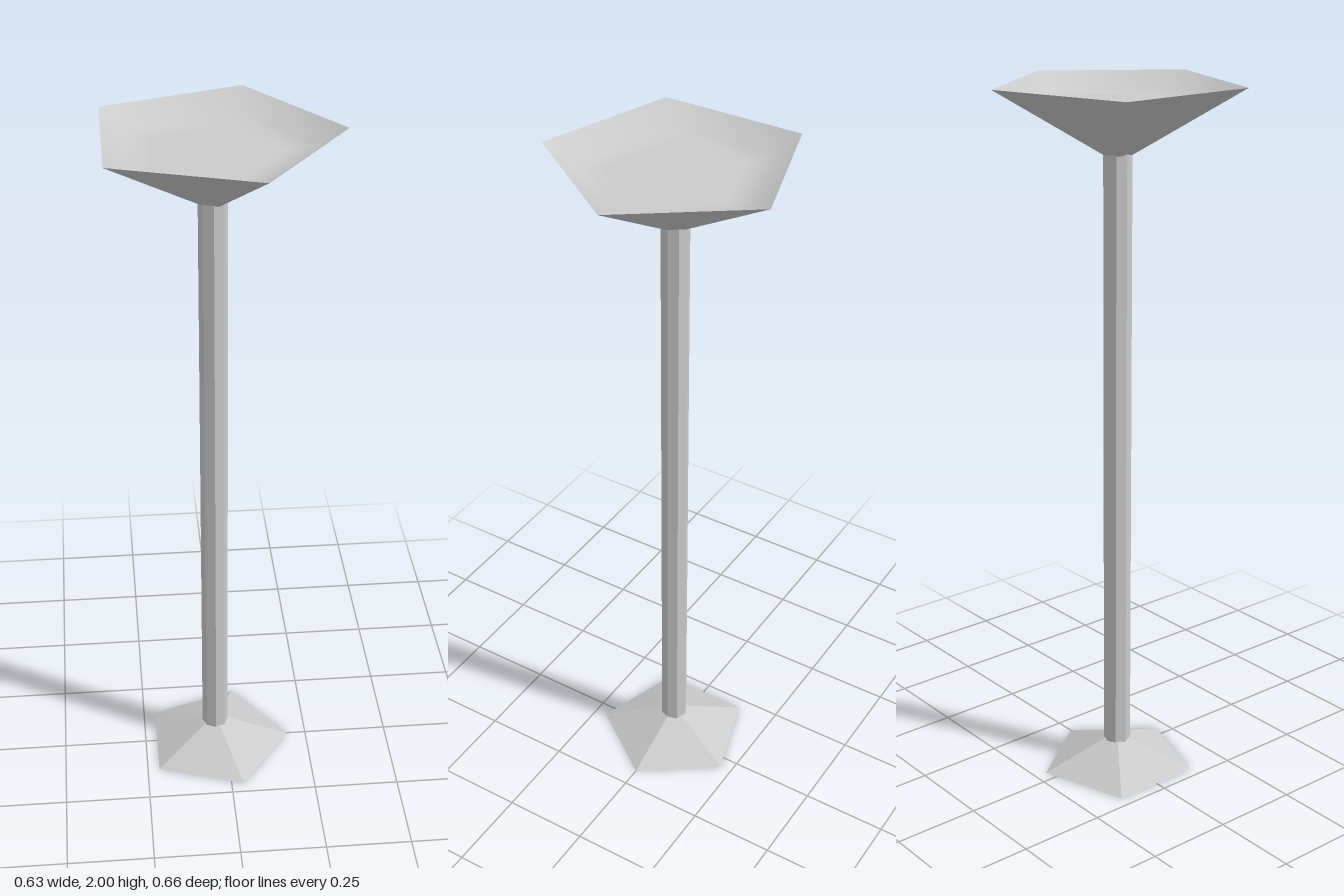
import * as THREE from 'three';

export function createModel() {
  const group = new THREE.Group();
  group.name = 'pedestalBowl';
  const flat = new THREE.MeshStandardMaterial({ color: 0xcccccc, flatShading: true });
  const smooth = new THREE.MeshStandardMaterial({ color: 0xcccccc });

  // The shared axis sits off centre because a pentagon is not symmetric in x
  const add = (name, geometry, material) => {
    const mesh = new THREE.Mesh(geometry, material);
    mesh.name = name;
    mesh.position.x = -0.033;
    group.add(mesh);
  };

  // Turned solid with a corner pointing to +x; profile points are [radius, y]
  const turned = (profile, sides) => new THREE.LatheGeometry(
    profile.map(([r, y]) => new THREE.Vector2(r, y)), sides, Math.PI / 2);

  // Five-sided foot
  add('foot', turned([[0, 0], [0.225, 0], [0.04, 0.078], [0, 0.078]], 5), flat);

  // Octagonal pole
  add('pole', turned([[0, 0.07], [0.039, 0.07], [0.039, 1.82], [0, 1.82]], 8), flat);

  // Flared five-sided bowl, faceted outside
  add('bowlOutside', turned([[0, 1.815], [0.04, 1.815], [0.346, 2]], 5), flat);

  // Shallow, softly shaded hollow: sloping wall down to a level floor
  add('bowlInside', turned([[0.346, 2], [0.27, 1.956], [0.21, 1.948], [0.19, 1.948], [0, 1.948]], 5), smooth);

  return group;
}
